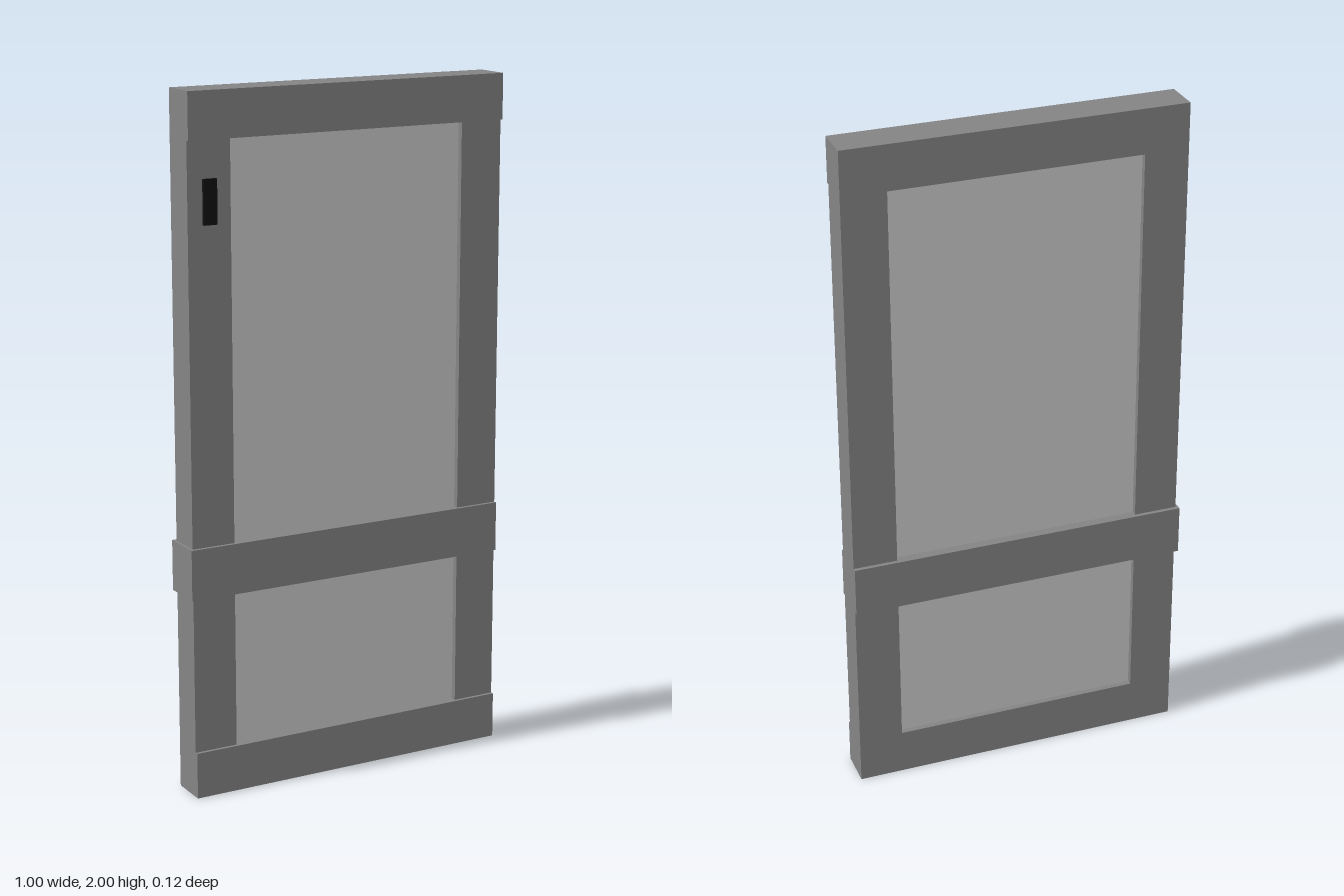
import * as THREE from 'three';

export function createModel() {
  const door = new THREE.Group();
  door.name = 'door';
  const frameMat = new THREE.MeshStandardMaterial({ color: 0x848484 });
  const paneMat = new THREE.MeshStandardMaterial({ color: 0xcccccc });
  const plateMat = new THREE.MeshStandardMaterial({ color: 0x111111 });

  // Box given by its extents along each axis
  function slab(name, material, [x0, x1], [y0, y1], [z0, z1]) {
    const mesh = new THREE.Mesh(new THREE.BoxGeometry(x1 - x0, y1 - y0, z1 - z0), material);
    mesh.position.set((x0 + x1) / 2, (y0 + y1) / 2, (z0 + z1) / 2);
    mesh.name = name;
    door.add(mesh);
  }

  // Upright stiles
  slab('rightStile', frameMat, [-0.495, -0.365], [0.135, 1.868], [-0.05, 0.052]);
  slab('leftStile', frameMat, [0.37, 0.5], [0.135, 1.868], [-0.05, 0.052]);

  // Rails, standing slightly proud of the stiles
  slab('bottomRail', frameMat, [-0.495, 0.5], [0, 0.135], [-0.05, 0.062]);
  slab('topRail', frameMat, [-0.495, 0.5], [1.868, 2], [-0.05, 0.062]);
  slab('middleRail', frameMat, [-0.503, 0.5], [0.588, 0.735], [-0.062, 0.062]);

  // Recessed panels
  slab('lowerPanel', paneMat, [-0.365, 0.37], [0.135, 0.588], [-0.033, 0.035]);
  slab('upperPanel', paneMat, [-0.365, 0.37], [0.735, 1.868], [-0.033, 0.035]);

  // Small dark plate on the stile
  slab('plate', plateMat, [-0.45, -0.41], [1.638, 1.763], [0.05, 0.062]);

  return door;
}
